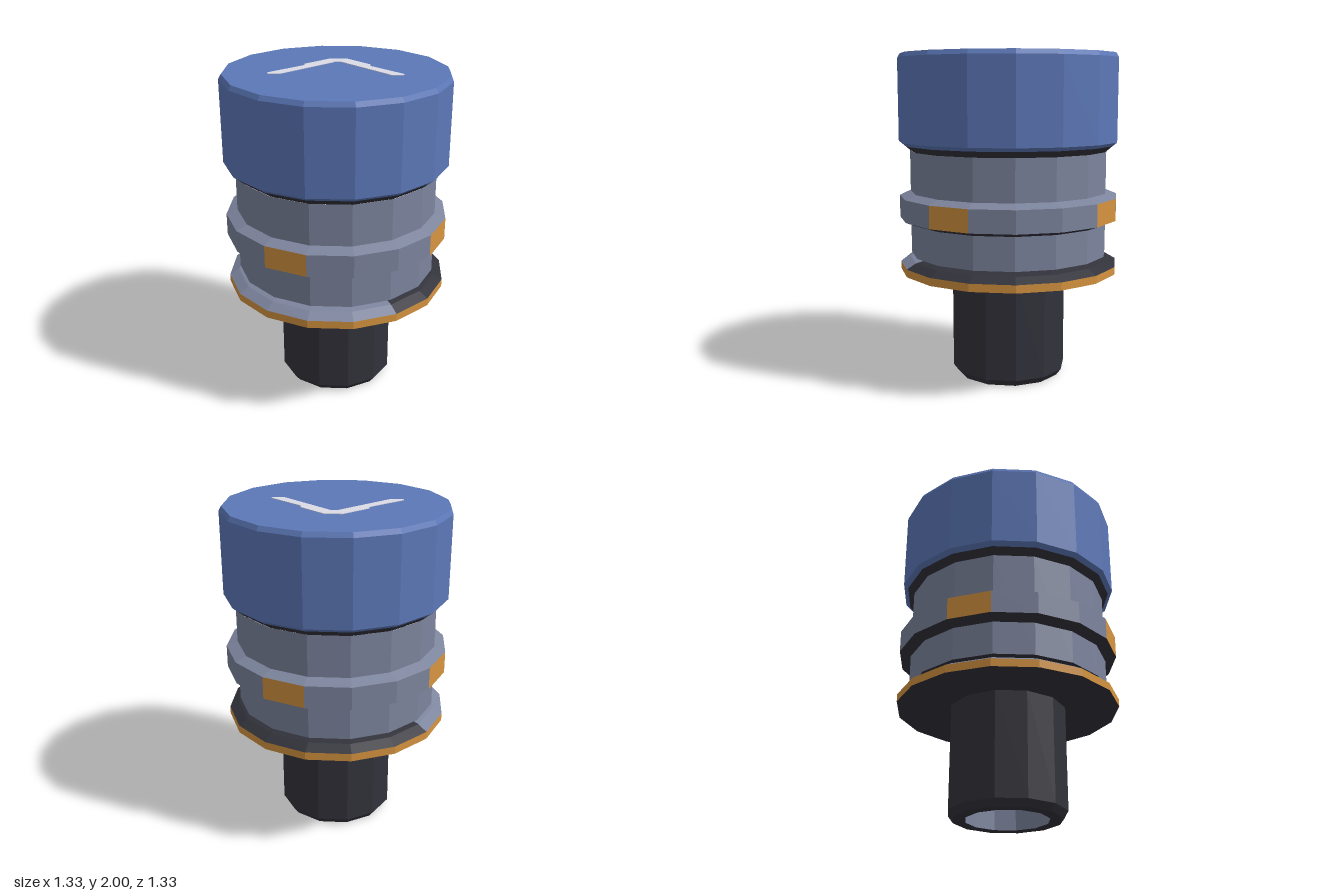
import * as THREE from 'three';

const mat = (name, color) => {
  const m = new THREE.MeshStandardMaterial({ color });
  m.name = name;
  return m;
};
const DEG = Math.PI / 180;

export function createModel() {
  const blue = mat('blue', 0x5c78b8);
  const grey = mat('grey', 0x7d859e);
  const dark = mat('dark', 0x32323b);
  const orange = mat('orange', 0xd6943f);
  const white = mat('white', 0xdddce8);

  const model = new THREE.Group();
  model.name = 'buttonCap';

  // Faceted turned part; profile runs upwards along the outside, angles in degrees from +z
  function turned(name, material, profile, sides = 16, start = 180 / sides, count = sides) {
    const points = profile.map(([r, y]) => new THREE.Vector2(r, y));
    const step = 360 / sides;
    const geo = new THREE.LatheGeometry(points, count, start * DEG, count * step * DEG).toNonIndexed();
    geo.computeVertexNormals();
    const mesh = new THREE.Mesh(geo, material);
    mesh.name = name;
    model.add(mesh);
    return mesh;
  }

  // Hollow stem with a chamfered foot
  turned('stem', dark, [[0.25, 0], [0.325, 0], [0.355, 0.04], [0.355, 0.68]], 12);
  turned('stemBore', grey, [[0, 0.5], [0.25, 0.5], [0.25, 0]], 12);

  // Flange with an orange rim and a two-tone sloped top
  turned('flangeUnderside', dark, [[0.3, 0.67], [0.678, 0.67]]);
  turned('flangeRim', orange, [[0.678, 0.67], [0.678, 0.717]]);
  const slope = [[0.678, 0.717], [0.62, 0.75], [0.5, 0.776]];
  turned('flangeTopDark', dark, slope, 16, 33.75, 9);
  turned('flangeTopGrey', grey, slope, 16, 236.25, 7);

  // Body
  turned('body', grey, [[0.61, 0.776], [0.61, 1.412]]);
  turned('bodyUnderside', dark, [[0, 0.776], [0.61, 0.776]]);

  // Collar with four orange panels
  turned('collarUnderside', dark, [[0.61, 0.975], [0.678, 1.0]]);
  turned('collarTop', grey, [[0.678, 1.135], [0.61, 1.162]]);
  const band = [[0.678, 1.0], [0.678, 1.135]];
  for (let i = 0; i < 4; i++) {
    turned('collarPanel', orange, band, 16, -33.75 + i * 90, 1);
    turned('collarBand', grey, band, 16, -11.25 + i * 90, 3);
  }

  // Cap
  turned('capUnderside', dark, [[0, 1.41], [0.605, 1.41], [0.65, 1.448]]);
  turned('cap', blue, [[0.65, 1.448], [0.678, 1.47], [0.678, 1.97], [0.662, 1.997], [0, 1.997]]);

  // Chevron mark on the cap, drawn for one side and mirrored
  const half = [[0.05, -0.28], [0.195, -0.135], [0.195, -0.1], [0.39, 0.085],
    [0.385, 0.107], [0.315, 0.107], [0.02, -0.195]];
  const outline = [...half, ...half.map(([x, z]) => [-x, z]).reverse()];
  const shape = new THREE.Shape(outline.map(([x, z]) => new THREE.Vector2(x, -z)));
  const chevronGeo = new THREE.ExtrudeGeometry(shape, { depth: 0.004, bevelEnabled: false });
  chevronGeo.rotateX(-Math.PI / 2);
  const chevron = new THREE.Mesh(chevronGeo, white);
  chevron.name = 'chevronMark';
  chevron.position.y = 1.996;
  model.add(chevron);

  return model;
}
